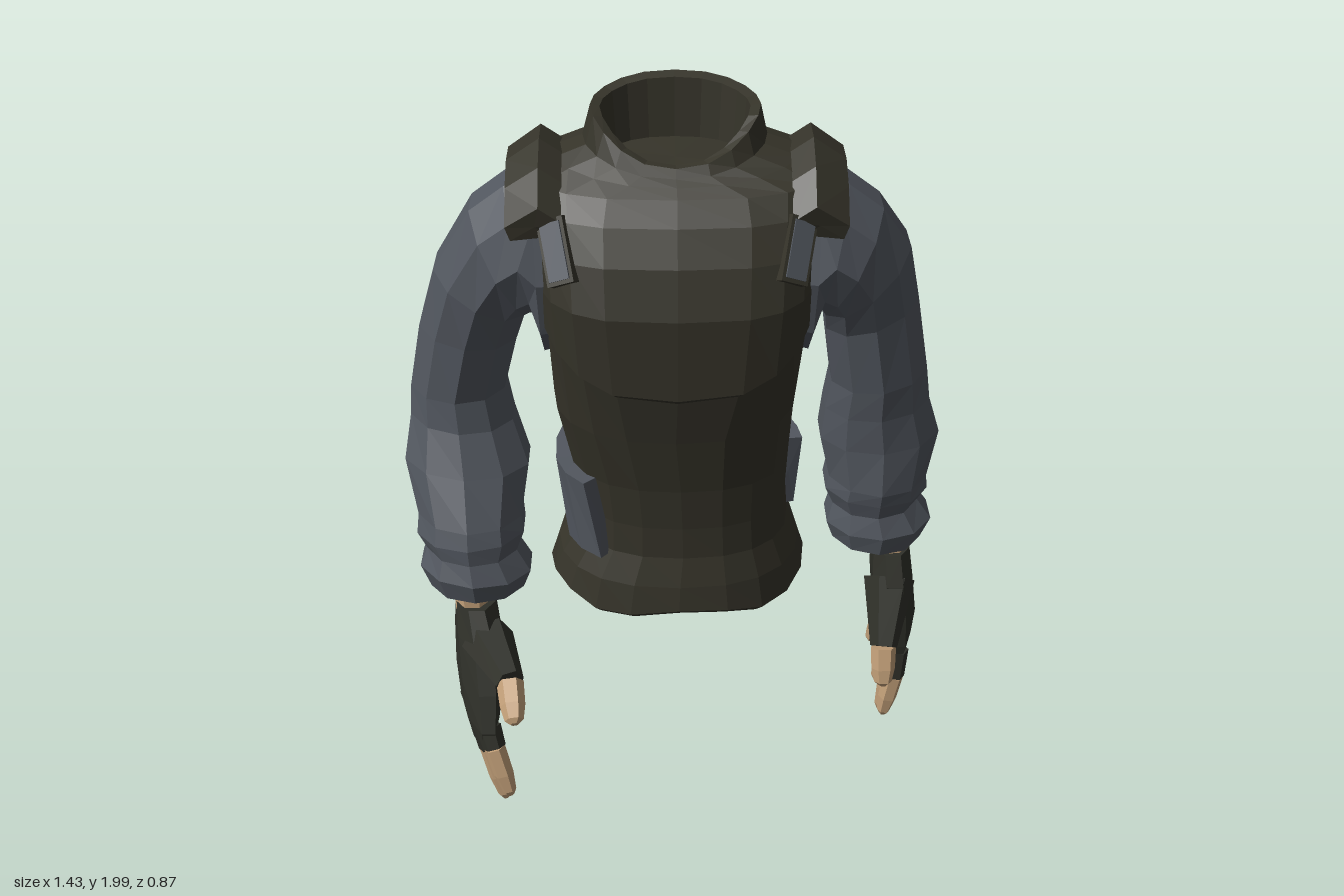
import * as THREE from 'three';

const V = (x, y, z) => new THREE.Vector3(x, y, z);
const flat = (name, color) => Object.assign(new THREE.MeshStandardMaterial({ color }), { name });

// Closed, faceted skin over a list of equal-length point rings
function loft(rings) {
  const pos = [];
  const n = rings[0].length;
  const tri = (a, b, c) => pos.push(...a.toArray(), ...b.toArray(), ...c.toArray());
  const middle = (ring) => ring.reduce((s, p) => s.add(p), V(0, 0, 0)).divideScalar(n);
  const last = rings[rings.length - 1];
  const c0 = middle(rings[0]), c1 = middle(last);
  for (let j = 0; j < n; j++) {
    const k = (j + 1) % n;
    for (let i = 0; i + 1 < rings.length; i++) {
      const a = rings[i], b = rings[i + 1];
      tri(a[j], a[k], b[k]);
      tri(a[j], b[k], b[j]);
    }
    tri(c0, rings[0][k], rings[0][j]);
    tri(c1, last[j], last[k]);
  }
  // Turn the skin outward if its enclosed volume is negative
  let volume = 0;
  for (let i = 0; i < pos.length; i += 9) {
    const [a, b, c] = [0, 3, 6].map((o) => V(pos[i + o], pos[i + o + 1], pos[i + o + 2]));
    volume += a.dot(b.cross(c));
  }
  if (volume < 0) {
    for (let i = 0; i < pos.length; i += 9) {
      for (let k = 0; k < 3; k++) [pos[i + 3 + k], pos[i + 6 + k]] = [pos[i + 6 + k], pos[i + 3 + k]];
    }
  }
  const g = new THREE.BufferGeometry();
  g.setAttribute('position', new THREE.Float32BufferAttribute(pos, 3));
  g.computeVertexNormals();
  return g;
}

// Ring through an outer and an inner point, with a depth range and optional yaw skew
function limbRing([ox, oy, ix, iy, z0, z1, skew = 0], n = 10) {
  return Array.from({ length: n }, (_, j) => {
    const t = (j + 0.5) / n * Math.PI * 2, c = Math.cos(t) * 1.04, s = Math.sin(t) * 1.04;
    const dz = (z1 - z0) / 2 * s;
    return V((ox + ix) / 2 + (ox - ix) / 2 * c + skew * dz, (oy + iy) / 2 + (oy - iy) / 2 * c, (z0 + z1) / 2 + dz);
  });
}

// Tapered round segment through points
function taper(points, radii, n = 6) {
  const rings = points.map((p, i) => {
    const d = points[Math.min(i + 1, points.length - 1)].clone().sub(points[Math.max(i - 1, 0)]).normalize();
    const u = V(1, 0, 0).addScaledVector(d, -d.x).normalize(), w = d.clone().cross(u);
    return Array.from({ length: n }, (_, j) => {
      const t = j / n * Math.PI * 2;
      return p.clone().addScaledVector(u, Math.cos(t) * radii[i]).addScaledVector(w, Math.sin(t) * radii[i]);
    });
  });
  return loft(rings);
}

// Point on a torso ring: [xRight, xLeft, zFront, zBack, yFront, ySide, yBack, squareness]
function torsoPoint([xr, xl, zf, zb, yf, ys, yb, square = 2.35], t, grow = 0) {
  const c = Math.cos(t), s = Math.sin(t), e = 2 / (s > 0 ? square : 2.35);
  const px = Math.sign(c) * Math.abs(c) ** e, pz = Math.sign(s) * Math.abs(s) ** e;
  const y = ys + ((s > 0 ? yf : yb) - ys) * s * s;
  return V((xl + xr) / 2 + ((xl - xr) / 2 + grow) * px, y, (zf + zb) / 2 + ((zf - zb) / 2 + grow) * pz);
}

export function createModel() {
  const model = new THREE.Group();
  const vest = flat('dark olive vest', 0x353329);
  const cloth = flat('blue grey cloth', 0x52575f);
  const glove = flat('dark glove', 0x2f3029);
  const skin = flat('skin', 0xc4a17a);
  const add = (name, geometry, material, parent = model) => {
    const m = new THREE.Mesh(geometry, material);
    m.name = name;
    parent.add(m);
    return m;
  };

  // Vest: hem, waist, chest step, shoulders, collar and collar lining
  const torso = [
    [-0.32, 0.33, 0.18, -0.39, 0.625, 0.63, 0.635],
    [-0.345, 0.355, 0.21, -0.43, 0.65, 0.655, 0.675],
    [-0.32, 0.335, 0.2, -0.385, 0.73, 0.73, 0.76],
    [-0.272, 0.302, 0.18, -0.33, 0.81, 0.81, 0.83],
    [-0.268, 0.295, 0.18, -0.31, 0.9, 0.9, 0.9],
    [-0.282, 0.3, 0.192, -0.3, 1.02, 1.02, 1.02],
    [-0.318, 0.31, 0.222, -0.295, 1.18, 1.2, 1.2, 2.5],
    [-0.333, 0.333, 0.25, -0.3, 1.31, 1.46, 1.4, 2.9],
    [-0.34, 0.34, 0.268, -0.303, 1.325, 1.475, 1.42, 3.1],
    [-0.345, 0.345, 0.272, -0.31, 1.54, 1.57, 1.58, 3.4],
    [-0.35, 0.35, 0.235, -0.305, 1.66, 1.67, 1.68, 3.4],
    [-0.365, 0.365, 0.19, -0.29, 1.745, 1.76, 1.75, 3.2],
    [-0.385, 0.385, 0.145, -0.25, 1.8, 1.82, 1.81, 2.8],
    [-0.31, 0.31, 0.12, -0.235, 1.82, 1.86, 1.83],
    [-0.228, 0.222, 0.1, -0.225, 1.835, 1.89, 1.86],
    [-0.208, 0.205, 0.085, -0.21, 1.855, 1.965, 2.0],
    [-0.185, 0.18, 0.06, -0.185, 1.855, 1.96, 1.99],
    [-0.175, 0.17, 0.05, -0.175, 1.82, 1.83, 1.84],
  ];
  const around = Array.from({ length: 20 }, (_, j) => j / 20 * Math.PI * 2);
  add('vest', loft(torso.map((r, i) => around.map((t) => {
    const p = torsoPoint(r, t);
    // The hem hangs in loose waves and trails a little to one side at the back
    if (i < 2) p.y += 0.014 * Math.cos(5 * t - Math.PI * 0.35);
    if (i < 3 && p.z < 0) p.z += 0.3 * p.x * p.z;
    return p;
  }))), vest);

  // Hip pouches wrapping the waist, their lower edge slanted round the body
  const low = [-0.272, 0.302, 0.18, -0.32, 0.8, 0.79, 0.8];
  const high = [-0.282, 0.3, 0.19, -0.305, 1.03, 1.02, 1.03];
  const pouch = (name, from, to) => {
    const sections = [];
    for (let i = 0; i <= 6; i++) {
      const t = THREE.MathUtils.degToRad(from + (to - from) * i / 6), b = t - 0.11;
      sections.push([torsoPoint(low, b, -0.02), torsoPoint(low, b, 0.028), torsoPoint(high, t, 0.04), torsoPoint(high, t, -0.02)]);
    }
    add(name, loft(sections), cloth);
  };
  pouch('leftHipPouch', -77, -4);
  pouch('rightHipPouch', 136, 234);

  // Ridged shoulder pads and framed chest tabs
  const arch = [[0.16, 1.79], [0.09, 1.865], [0, 1.905], [-0.1, 1.905], [-0.18, 1.86], [-0.23, 1.79]];
  for (const [side, s] of [['left', 1], ['right', -1]]) {
    add(side + 'ShoulderPad', loft(arch.map(([z, y]) => [
      V(s * 0.275, y - 0.04, z), V(s * 0.33, y - 0.003, z), V(s * 0.412, y - 0.06, z * 0.9 - 0.005),
      V(s * 0.4, y - 0.095, z * 0.85), V(s * 0.29, y - 0.08, z * 0.9),
    ])), vest);
    const tab = new THREE.Group();
    tab.name = side + 'ChestTab';
    tab.position.set(s * 0.282, 1.682, 0.172);
    tab.rotation.set(-0.45, s * 0.5, -s * 0.2);
    model.add(tab);
    add('tabFrame', new THREE.BoxGeometry(0.074, 0.16, 0.04), vest, tab);
    add('tabFace', new THREE.BoxGeometry(0.056, 0.14, 0.008), cloth, tab).position.z = 0.02;
  }

  // Sleeves, from the armhole to the gathered cuff
  const armhole = (s) => [
    [s * 0.27, 1.8, s * 0.27, 1.36, -0.21, 0.14],
    [s * 0.35, 1.82, s * 0.335, 1.34, -0.22, 0.145],
    [s * 0.42, 1.79, s * 0.35, 1.45, -0.215, 0.14],
    [s * 0.51, 1.72, s * 0.37, 1.44, -0.225, 0.125],
  ];
  const leftSleeve = [...armhole(1),
    [0.59, 1.6, 0.38, 1.41, -0.255, 0.085],
    [0.625, 1.44, 0.387, 1.35, -0.29, 0.03],
    [0.665, 1.22, 0.412, 1.18, -0.315, 0],
    [0.68, 1.12, 0.4, 1.09, -0.325, -0.02],
    [0.715, 1.01, 0.392, 0.99, -0.345, -0.03],
    [0.69, 0.87, 0.42, 0.87, -0.35, -0.025],
    [0.695, 0.83, 0.412, 0.83, -0.34, -0.035],
    [0.67, 0.79, 0.435, 0.78, -0.32, -0.05],
    [0.712, 0.73, 0.42, 0.72, -0.335, -0.035],
    [0.685, 0.665, 0.438, 0.67, -0.32, -0.05],
    [0.65, 0.69, 0.55, 0.69, -0.24, -0.1],
  ];
  const rightSleeve = [...armhole(-1),
    [-0.61, 1.55, -0.385, 1.42, -0.24, 0.09],
    [-0.66, 1.38, -0.41, 1.34, -0.25, 0.05],
    [-0.695, 1.2, -0.448, 1.19, -0.25, 0.03],
    [-0.7, 1.12, -0.43, 1.1, -0.24, 0.04],
    [-0.718, 1.01, -0.39, 0.99, -0.2, 0.09],
    [-0.685, 0.88, -0.41, 0.87, -0.13, 0.155],
    [-0.69, 0.83, -0.405, 0.83, -0.11, 0.17],
    [-0.665, 0.79, -0.425, 0.78, -0.08, 0.17],
    [-0.685, 0.74, -0.39, 0.72, -0.085, 0.19],
    [-0.66, 0.675, -0.41, 0.67, -0.06, 0.175],
    [-0.6, 0.7, -0.49, 0.7, 0.03, 0.17],
  ];
  add('leftSleeve', loft(leftSleeve.map((r) => limbRing(r))), cloth);
  add('rightSleeve', loft(rightSleeve.map((r) => limbRing(r))), cloth);

  // Hands: wrist, gloved palm, gloved finger roots and bare fingertips
  function hand(name, wrist, palm, fingers, thumb) {
    const g = new THREE.Group();
    g.name = name;
    model.add(g);
    add('wrist', loft(wrist.map((r) => limbRing(r, 8))), skin, g);
    add('palm', loft(palm.map((r) => limbRing(r, 8))), glove, g);
    const digit = (label, points, radii) => {
      const [base, mid, tip] = points.map((p) => V(...p));
      const joint = mid.clone().lerp(tip, 0.55);
      const end = mid.clone().lerp(tip, 0.9);
      add(label + 'Glove', taper([base, mid], radii.slice(0, 2)), glove, g);
      add(label + 'Tip', taper([mid, joint, end, tip], [radii[1] * 0.94, radii[1] * 0.88, radii[2], radii[2] * 0.45]), skin, g);
    };
    fingers.forEach((f, i) => digit('finger' + (i + 1), f, [0.034, 0.031, 0.019]));
    digit('thumb', thumb, [0.072, 0.038, 0.025]);
  }
  hand('leftHand',
    [[0.655, 0.72, 0.555, 0.72, -0.24, -0.1], [0.655, 0.61, 0.56, 0.61, -0.24, -0.1]],
    [[0.66, 0.635, 0.555, 0.635, -0.25, -0.085], [0.672, 0.55, 0.555, 0.55, -0.275, -0.05],
      [0.69, 0.42, 0.57, 0.42, -0.315, -0.06], [0.685, 0.33, 0.595, 0.33, -0.345, -0.07], [0.67, 0.26, 0.61, 0.26, -0.33, -0.085]],
    [[[0.64, 0.3, -0.11], [0.635, 0.21, -0.105], [0.61, 0.065, -0.11]],
      [[0.645, 0.29, -0.178], [0.645, 0.21, -0.185], [0.615, 0.01, -0.205]],
      [[0.645, 0.29, -0.245], [0.64, 0.22, -0.255], [0.61, 0.06, -0.285]],
      [[0.635, 0.33, -0.305], [0.625, 0.28, -0.325], [0.595, 0.155, -0.355]]],
    [[0.605, 0.54, -0.12], [0.585, 0.385, -0.005], [0.585, 0.275, 0.03]]);
  hand('rightHand',
    [[-0.6, 0.72, -0.495, 0.72, 0.03, 0.17], [-0.595, 0.62, -0.495, 0.62, 0.03, 0.17]],
    [[-0.595, 0.65, -0.487, 0.65, 0.025, 0.185, 0.1], [-0.598, 0.56, -0.47, 0.56, 0.03, 0.235, 0.2],
      [-0.595, 0.44, -0.48, 0.44, 0.035, 0.285, 0.25], [-0.585, 0.34, -0.495, 0.34, 0.045, 0.32, 0.25], [-0.57, 0.27, -0.51, 0.27, 0.065, 0.305, 0.25]],
    [[[-0.51, 0.34, 0.28], [-0.495, 0.285, 0.3], [-0.455, 0.14, 0.325]],
      [[-0.53, 0.31, 0.225], [-0.515, 0.235, 0.235], [-0.475, 0.075, 0.26]],
      [[-0.55, 0.31, 0.155], [-0.535, 0.235, 0.155], [-0.49, 0.075, 0.155]],
      [[-0.57, 0.32, 0.095], [-0.56, 0.255, 0.085], [-0.52, 0.115, 0.08]]],
    [[-0.51, 0.55, 0.17], [-0.44, 0.53, 0.335], [-0.425, 0.465, 0.43]]);

  return model;
}
